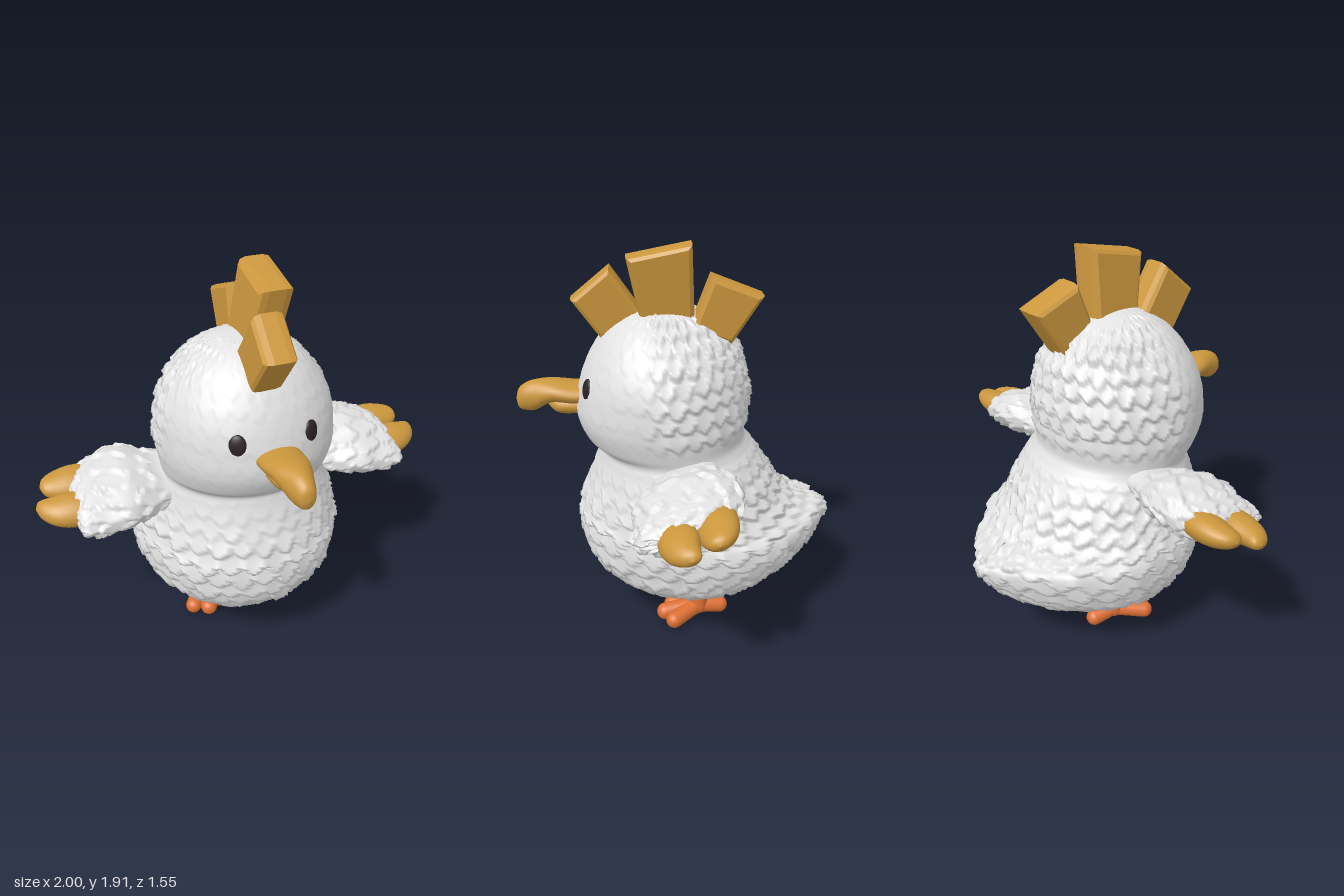
import * as THREE from 'three';

const mat = (name, color) => {
  const m = new THREE.MeshStandardMaterial({ color });
  m.name = name;
  return m;
};
const step = THREE.MathUtils.smoothstep;
const hash = (a, b) => {
  const s = Math.sin(a * 127.1 + b * 311.7) * 43758.5453;
  return s - Math.floor(s);
};

// Closed skin through rows of section values; ring(values, angle) gives a point
function loft(rows, nu, nv, ring) {
  const curves = rows[0].map((_, c) => new THREE.SplineCurve(rows.map((r, i) => new THREE.Vector2(i, r[c]))));
  const pos = [], index = [];
  for (let i = 0; i <= nv; i++) {
    const vals = curves.map(c => c.getPoint(i / nv).y);
    for (let j = 0; j < nu; j++) {
      pos.push(...ring(vals, j / nu * Math.PI * 2));
      if (i === nv) continue;
      const a = i * nu + j, b = i * nu + (j + 1) % nu;
      index.push(a, a + nu, b + nu, a, b + nu, b);
    }
  }
  const geo = new THREE.BufferGeometry();
  geo.setAttribute('position', new THREE.Float32BufferAttribute(pos, 3));
  geo.setIndex(index);
  geo.computeVertexNormals();
  return geo;
}

// Height (0..1) of overlapping pointed feathers at column c, row distance d
function featherHeight(c, d, count) {
  let best = 0;
  for (const r of [Math.floor(d), Math.floor(d) - 1]) {
    const off = (Math.abs(r) % 2) * 0.5;
    const k = Math.round(c - off), s = 2 * (c - off - k);
    const rnd = hash(r, (k + count) % count);
    const tip = 1 + (0.35 + 0.4 * rnd) * (1 - s * s);
    const t = d - r;
    if (t <= tip) best = Math.max(best, Math.pow(t / tip, 1.5) * (0.6 + 0.4 * hash(k % count, r + 7)));
  }
  return best;
}

// Raise feathers on a lofted skin, measured down each column
function addFeathers(geo, nu, nv, count, length, height, mask) {
  const p = geo.attributes.position, n = geo.attributes.normal;
  const here = new THREE.Vector3(), last = new THREE.Vector3(), normal = new THREE.Vector3();
  for (let j = 0; j < nu; j++) {
    let d = 0;
    for (let i = 0; i <= nv; i++) {
      const k = i * nu + j;
      here.fromBufferAttribute(p, k);
      if (i) d += here.distanceTo(last);
      last.copy(here);
      normal.fromBufferAttribute(n, k);
      const h = (featherHeight(j / nu * count, d / length, count) - 0.35) * height * mask(here);
      here.addScaledVector(normal, h);
      p.setXYZ(k, here.x, here.y, here.z);
    }
  }
  geo.computeVertexNormals();
  return geo;
}

// Mirror across x and keep faces pointing outward
function mirrored(geo) {
  const g = geo.clone().scale(-1, 1, 1);
  const ix = g.index.array;
  for (let i = 0; i < ix.length; i += 3) [ix[i], ix[i + 1]] = [ix[i + 1], ix[i]];
  return g;
}

// Capsule between two points
function capsule(a, b, r) {
  const A = new THREE.Vector3(...a), B = new THREE.Vector3(...b), dir = B.clone().sub(A);
  const g = new THREE.CapsuleGeometry(r, dir.length(), 8, 18);
  g.applyQuaternion(new THREE.Quaternion().setFromUnitVectors(new THREE.Vector3(0, 1, 0), dir.clone().normalize()));
  return g.translate(...A.add(B).multiplyScalar(0.5).toArray());
}

export function createModel() {
  const model = new THREE.Group();
  const white = mat('white feathers', 0xe2e2e2);
  const gold = mat('golden horn', 0xcb973d);
  const orange = mat('orange skin', 0xdd7033);
  const dark = mat('dark eye', 0x2c2226);
  const add = (name, geo, material, parent = model) => {
    const m = new THREE.Mesh(geo, material);
    m.name = name;
    parent.add(m);
    return m;
  };

  // Head, body and tail: y, half width, front z, back z, middle z, tail sharpness
  const bodyRows = [
    [1.62, 0, 0.07, 0.07, 0.07, 1], [1.61, 0.1, 0.16, -0.03, 0.07, 1],
    [1.57, 0.19, 0.25, -0.13, 0.07, 1], [1.5, 0.28, 0.34, -0.22, 0.07, 1],
    [1.4, 0.36, 0.41, -0.29, 0.07, 1], [1.3, 0.405, 0.455, -0.32, 0.07, 1],
    [1.2, 0.42, 0.48, -0.335, 0.07, 1], [1.1, 0.42, 0.485, -0.33, 0.07, 1],
    [1.0, 0.405, 0.445, -0.32, 0.05, 1], [0.95, 0.4, 0.385, -0.345, 0.02, 1],
    [0.9, 0.42, 0.39, -0.385, 0, 1], [0.8, 0.455, 0.425, -0.445, -0.02, 1],
    [0.7, 0.49, 0.465, -0.51, -0.05, 1.2], [0.62, 0.515, 0.485, -0.6, -0.1, 1.4],
    [0.57, 0.525, 0.49, -0.75, -0.1, 1.6], [0.5, 0.52, 0.485, -0.755, -0.1, 1.6],
    [0.4, 0.49, 0.46, -0.69, -0.1, 1.5], [0.3, 0.43, 0.39, -0.58, -0.07, 1.3],
    [0.2, 0.29, 0.24, -0.38, -0.05, 1.1], [0.155, 0.14, 0.1, -0.2, -0.05, 1],
    [0.15, 0, -0.05, -0.05, -0.05, 1],
  ];
  const NU = 210, NV = 180;
  const body = loft(bodyRows, NU, NV, ([y, w, f, b, c, p], a) => {
    const s = Math.sin(a), k = Math.cos(a);
    const sharp = k < 0 ? 1 + (p - 1) * Math.min(1, -k * 2) : 1;
    return [Math.max(0, w) * Math.sign(s) * Math.pow(Math.abs(s), sharp), y, c + k * (k > 0 ? f - c : c - b)];
  });
  addFeathers(body, NU, NV, 30, 0.085, 0.036, q => {
    const neck = step(Math.abs(q.y - 0.97), 0.02, 0.16);
    const face = q.y > 0.97 ? 1 - 0.9 * step(q.z, 0, 0.22) : 1 - 0.7 * step(q.z, 0, 0.2) * step(q.y, 0.6, 0.85);
    return neck * face * step(Math.hypot(q.x, q.z), 0.08, 0.24);
  });
  add('body', body, white);

  // Wings with two finger feathers: x, y, half height, z, half depth
  const wingRing = ([x, y, h, z, d], a) => {
    const dz = -Math.sin(a) * Math.max(0, d);
    return [x, y + Math.cos(a) * Math.max(0, h) - dz * 0.2, z + dz];
  };
  const wing = addFeathers(loft([
    [0.3, 0.9, 0, -0.02, 0], [0.31, 0.9, 0.07, -0.02, 0.13], [0.42, 0.895, 0.085, -0.01, 0.17],
    [0.52, 0.9, 0.108, -0.01, 0.215], [0.6, 0.9, 0.112, 0, 0.235], [0.7, 0.88, 0.105, 0, 0.222],
    [0.77, 0.87, 0.09, 0.02, 0.2], [0.82, 0.86, 0.06, 0.05, 0.15], [0.835, 0.86, 0, 0.06, 0],
  ], 80, 60, wingRing), 80, 60, 12, 0.11, 0.028, q => step(q.x, 0.35, 0.48));
  const frontFinger = loft([
    [0.7, 0.865, 0, 0.06, 0], [0.72, 0.865, 0.05, 0.06, 0.07], [0.83, 0.86, 0.068, 0.05, 0.085],
    [0.92, 0.862, 0.055, 0.04, 0.072], [0.98, 0.868, 0.032, 0.015, 0.045], [1, 0.87, 0, 0.005, 0],
  ], 24, 24, wingRing);
  const backFinger = loft([
    [0.64, 0.9, 0, -0.11, 0], [0.66, 0.9, 0.05, -0.11, 0.07], [0.79, 0.9, 0.068, -0.11, 0.088],
    [0.88, 0.902, 0.055, -0.11, 0.075], [0.94, 0.908, 0.032, -0.105, 0.045], [0.96, 0.91, 0, -0.105, 0],
  ], 24, 24, wingRing);
  const wingParts = [['Wing', wing, white], ['FrontFinger', frontFinger, gold], ['BackFinger', backFinger, gold]];
  for (const [name, geo, m] of wingParts) {
    add('left' + name, geo, m);
    add('right' + name, mirrored(geo), m);
  }

  // Hooked beak: z, y, half width, half height
  const beakRing = ([z, y, w, h], a) => [Math.sin(a) * Math.max(0, w), y + Math.cos(a) * Math.max(0, h), z];
  add('upperBeak', loft([
    [0.4, 1.195, 0, 0], [0.41, 1.195, 0.09, 0.045], [0.5, 1.198, 0.105, 0.05], [0.6, 1.207, 0.09, 0.055],
    [0.68, 1.185, 0.066, 0.074], [0.73, 1.175, 0.05, 0.066], [0.76, 1.168, 0.032, 0.045], [0.772, 1.165, 0, 0],
  ], 28, 36, beakRing), gold);
  add('lowerBeak', loft([
    [0.4, 1.135, 0, 0], [0.41, 1.135, 0.055, 0.04], [0.5, 1.135, 0.065, 0.045],
    [0.58, 1.137, 0.052, 0.04], [0.63, 1.145, 0, 0],
  ], 24, 20, beakRing), gold);

  // Comb of three slabs: side corners (z, y), middle x, thickness, sideways lean
  const comb = new THREE.Group();
  comb.name = 'comb';
  model.add(comb);
  const slabs = [
    ['frontComb', [[0.46, 1.645], [0.315, 1.765], [0.18, 1.57], [0.35, 1.49]], 0.0, 0.15, 0.05],
    ['middleComb', [[0.21, 1.835], [-0.035, 1.885], [-0.05, 1.54], [0.15, 1.54]], 0.065, 0.16, 0.15],
    ['backComb', [[-0.155, 1.74], [-0.35, 1.665], [-0.23, 1.48], [-0.08, 1.54]], 0.08, 0.16, 0.05],
  ];
  for (const [name, corners, x, thick, lean] of slabs) {
    const bevel = 0.022;
    const g = new THREE.ExtrudeGeometry(new THREE.Shape(corners.map(c => new THREE.Vector2(...c))), {
      depth: thick - 0.08, bevelEnabled: true, bevelThickness: 0.04, bevelSize: bevel, bevelSegments: 2,
    });
    g.translate(0, 0, -(thick - 0.08) / 2).rotateY(-Math.PI / 2);
    const p = g.attributes.position;
    for (let i = 0; i < p.count; i++) p.setX(i, p.getX(i) + x + lean * (p.getY(i) - 1.7));
    g.computeVertexNormals();
    add(name, g, gold, comb);
  }

  // Eyes, legs and feet
  for (const [side, s] of [['left', 1], ['right', -1]]) {
    const eye = add(side + 'Eye', new THREE.SphereGeometry(1, 24, 16), dark);
    eye.scale.set(0.042, 0.055, 0.02);
    eye.position.set(s * 0.172, 1.262, 0.42);
    eye.rotation.set(-0.12, s * 0.48, 0, 'YXZ');

    const leg = new THREE.Group();
    leg.name = side + 'Leg';
    model.add(leg);
    const ankle = [s * 0.175, 0.065, -0.09];
    add('shin', capsule(ankle, [s * 0.165, 0.24, -0.1], 0.05), orange, leg);
    add('outerToe', capsule(ankle, [s * 0.272, 0.044, 0.035], 0.042), orange, leg);
    add('middleToe', capsule(ankle, [s * 0.2, 0.046, 0.078], 0.043), orange, leg);
    add('innerToe', capsule(ankle, [s * 0.13, 0.044, 0.04], 0.04), orange, leg);
    add('heelToe', capsule(ankle, [s * 0.155, 0.046, -0.205], 0.042), orange, leg);
  }
  return model;
}
